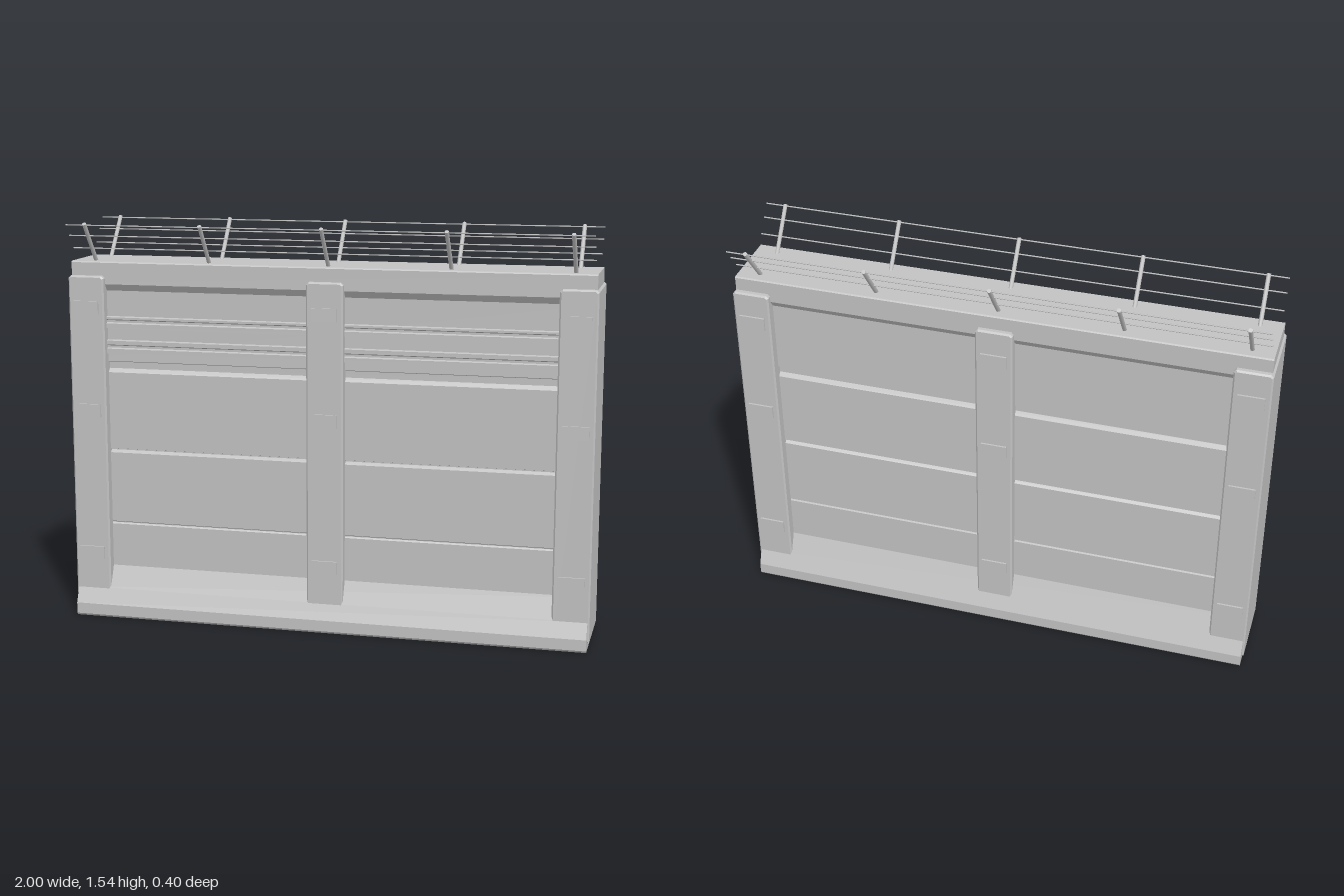
import * as THREE from 'three';

const concrete = new THREE.MeshStandardMaterial({ color: 0xc2c2c2 });
concrete.name = 'light grey';

// Extrude a (z, y) outline along x, centred on x = 0
function extrudeAlongX(points, length) {
  const shape = new THREE.Shape(points.map(([z, y]) => new THREE.Vector2(-z, y)));
  const geo = new THREE.ExtrudeGeometry(shape, { depth: length, bevelEnabled: false });
  geo.translate(0, 0, -length / 2);
  return geo.rotateY(Math.PI / 2);
}

// Thin bar between two points
function bar(a, b, radius, sides) {
  const dir = new THREE.Vector3().subVectors(b, a);
  const geo = new THREE.CylinderGeometry(radius, radius, dir.length(), sides);
  geo.applyQuaternion(new THREE.Quaternion().setFromUnitVectors(
    new THREE.Vector3(0, 1, 0), dir.clone().normalize()));
  const mid = a.clone().add(b).multiplyScalar(0.5);
  return geo.translate(mid.x, mid.y, mid.z);
}

// Pillar with clipped top corners and softened edges
function pillarGeometry(x0, x1, y0, y1, halfDepth) {
  const b = 0.006, c = 0.012;
  const s = new THREE.Shape();
  s.moveTo(x0 + b, y0 + b);
  s.lineTo(x1 - b, y0 + b);
  s.lineTo(x1 - b, y1 - c);
  s.lineTo(x1 - c, y1 - b);
  s.lineTo(x0 + c, y1 - b);
  s.lineTo(x0 + b, y1 - c);
  const geo = new THREE.ExtrudeGeometry(s, {
    depth: 2 * (halfDepth - b), bevelSize: b, bevelThickness: b, bevelSegments: 1,
  });
  return geo.translate(0, 0, -(halfDepth - b));
}

export function createModel() {
  const model = new THREE.Group();
  model.name = 'barrierWall';
  const add = (geo, name, parent = model) => {
    const mesh = new THREE.Mesh(geo, concrete);
    mesh.name = name;
    parent.add(mesh);
    return mesh;
  };

  // Sloped footing
  const foot = [[0.166, 0], [0.172, 0.008], [0.172, 0.05], [0.145, 0.11], [0.108, 0.195]];
  add(extrudeAlongX([...foot, ...foot.map(([z, y]) => [-z, y]).reverse()], 1.985), 'footing');

  // Wall panels separated by shallow seams
  const w = 0.108;
  const seam = (y, h, d) => [[w, y - h], [w - d, y - h * 0.3], [w - d, y], [w, y + 0.003]];
  const face = [
    [w, 0.15], ...seam(0.37, 0.008, 0.004), ...seam(0.66, 0.014, 0.012),
    [w, 0.96], [w - 0.012, 0.975], [w - 0.012, 1.0], [w, 1.004],
    [w, 1.275], [w + 0.017, 1.3], [w + 0.017, 1.34],
  ];
  add(extrudeAlongX([...face, ...face.map(([z, y]) => [-z, y]).reverse()], 1.96), 'wallPanels');

  // Horizontal ledges on the front face
  const ledge = (y0, y1) => [
    [w - 0.01, y0], [w + 0.012, y0], [w + 0.012, y0 + 0.018], [w + 0.004, y0 + 0.022],
    [w + 0.004, y0 + 0.03], [w + 0.012, y0 + 0.034], [w + 0.012, y1 - 0.006], [w - 0.01, y1],
  ];
  for (const [y0, y1] of [[1.132, 1.18], [1.035, 1.09]])
    add(extrudeAlongX(ledge(y0, y1), 1.9), 'frontLedge');

  // Top cap
  add(extrudeAlongX([
    [0.125, 1.3], [0.125, 1.381], [0.121, 1.386], [-0.121, 1.386], [-0.125, 1.381], [-0.125, 1.3],
  ], 1.985), 'topCap');

  // Pillars, each with three raised tabs on both faces
  for (const [name, x0, x1, y0, tabX] of [
    ['rightPillar', -1, -0.86, 0.03, -0.93],
    ['middlePillar', -0.07, 0.07, 0.06, 0],
    ['leftPillar', 0.86, 1, 0.03, 0.93],
  ]) {
    const group = new THREE.Group();
    group.name = name;
    model.add(group);
    add(pillarGeometry(x0, x1, y0, 1.332, 0.146), 'pillarBody', group);
    for (const y of [0.252, 0.815, 1.212])
      for (const side of [1, -1])
        add(new THREE.BoxGeometry(0.098, 0.05, 0.018), 'pillarTab', group)
          .position.set(tabX, y, side * 0.144);
  }

  // Outward leaning wire fences
  for (const side of [1, -1]) {
    const fence = new THREE.Group();
    fence.name = side > 0 ? 'frontFence' : 'backFence';
    model.add(fence);
    const at = (x, y) => new THREE.Vector3(x, y, side * (0.08 + (y - 1.385) * 0.77));
    for (const x of [-0.91, -0.46, 0, 0.46, 0.91])
      add(bar(at(x, 1.37), at(x, 1.532), 0.008, 8), 'fencePost', fence);
    for (const y of [1.435, 1.485, 1.527])
      add(bar(at(-0.985, y), at(0.985, y), 0.0025, 6), 'fenceWire', fence);
  }
  return model;
}
